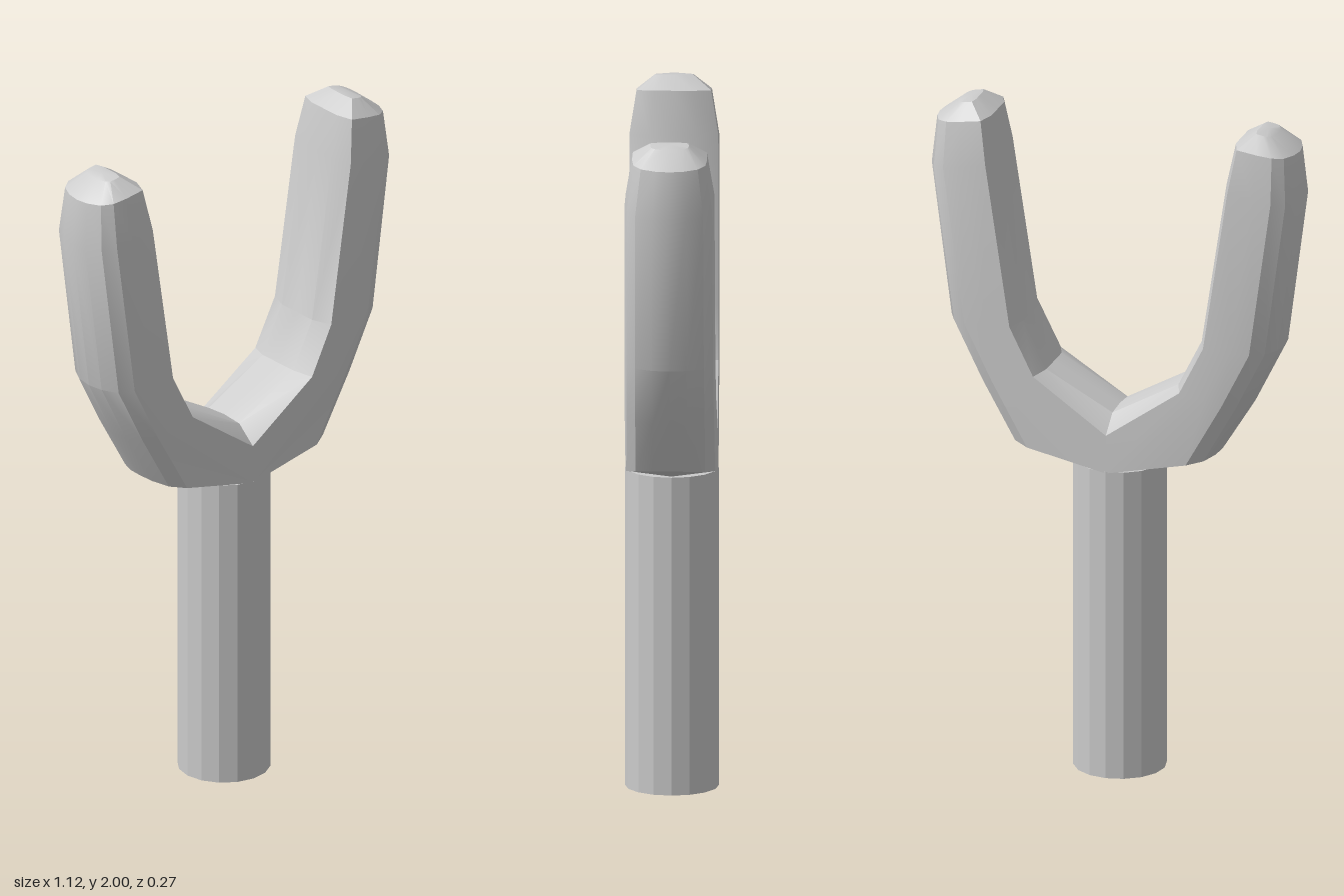
import * as THREE from 'three';
import { toCreasedNormals } from 'three/addons/utils/BufferGeometryUtils.js';

// Half of the arm section: [position from inner to outer side, depth]
const PROFILE = [[0, 0], [0, 0.07], [0.1, 0.13], [0.45, 0.132], [0.7, 0.126], [0.87, 0.1], [0.97, 0.05], [1, 0]];

// Arm stations: inner x, inner y, outer x, outer y, depth scale
const STATIONS = [
  [0.2, 1.21, 0.41, 1.16, 1],
  [0.27, 1.35, 0.5, 1.34, 0.99],
  [0.345, 1.84, 0.56, 1.8, 0.98],
  [0.37, 1.965, 0.545, 1.94, 0.82],
  [0.425, 2.0, 0.48, 1.99, 0.42],
];

// Flat-bottomed root section where the two arms meet
const ROOT = [
  [0, 1.105, 0], [0, 1.1, 0.07], [0, 1.05, 0.132], [0, 0.935, 0.134],
  [0.24, 0.985, 0.128], [0.285, 0.993, 0.1], [0.305, 0.998, 0.05], [0.31, 1.0, 0],
];

// Completes a half section with its mirror image in z
function closeRing(half) {
  const back = half.slice(1, -1).reverse().map(([x, y, z]) => [x, y, -z]);
  return [...half, ...back];
}

function armGeometry(side) {
  const rings = [closeRing(ROOT)];
  for (const [ix, iy, ox, oy, depth] of STATIONS) {
    rings.push(closeRing(PROFILE.map(([t, z]) => [ix + (ox - ix) * t, iy + (oy - iy) * t, z * depth])));
  }
  const n = rings[0].length;
  const points = rings.flat();
  points.push([0.1, 0.935, 0], [0.452, 2.0, 0]);
  const bottom = points.length - 2;
  const top = points.length - 1;
  const last = (rings.length - 1) * n;
  const index = [];
  const tri = (a, b, c) => index.push(...(side > 0 ? [a, b, c] : [a, c, b]));

  // Walls between neighbouring sections, then the two ends
  for (let i = 0; i < n; i++) {
    const j = (i + 1) % n;
    for (let r = 0; r < last; r += n) {
      tri(r + i, r + j, r + n + j);
      tri(r + i, r + n + j, r + n + i);
    }
    tri(bottom, j, i);
    tri(top, last + i, last + j);
  }
  const geometry = new THREE.BufferGeometry();
  geometry.setAttribute('position', new THREE.Float32BufferAttribute(
    points.flatMap(([x, y, z]) => [x * side, y, z]), 3));
  geometry.setIndex(index);
  return toCreasedNormals(geometry, 0.4);
}

export function createModel() {
  const model = new THREE.Group();
  model.name = 'slingshotFrame';

  // Straight round handle
  const handle = new THREE.Mesh(
    new THREE.CylinderGeometry(0.135, 0.135, 0.94, 16),
    new THREE.MeshStandardMaterial({ color: 0xcccccc, flatShading: true }));
  handle.name = 'handle';
  handle.position.y = 0.47;
  model.add(handle);

  // Two mirrored fork arms
  const armMaterial = new THREE.MeshStandardMaterial({ color: 0xcccccc });
  for (const side of [1, -1]) {
    const arm = new THREE.Mesh(armGeometry(side), armMaterial);
    arm.name = side > 0 ? 'leftArm' : 'rightArm';
    model.add(arm);
  }
  return model;
}
